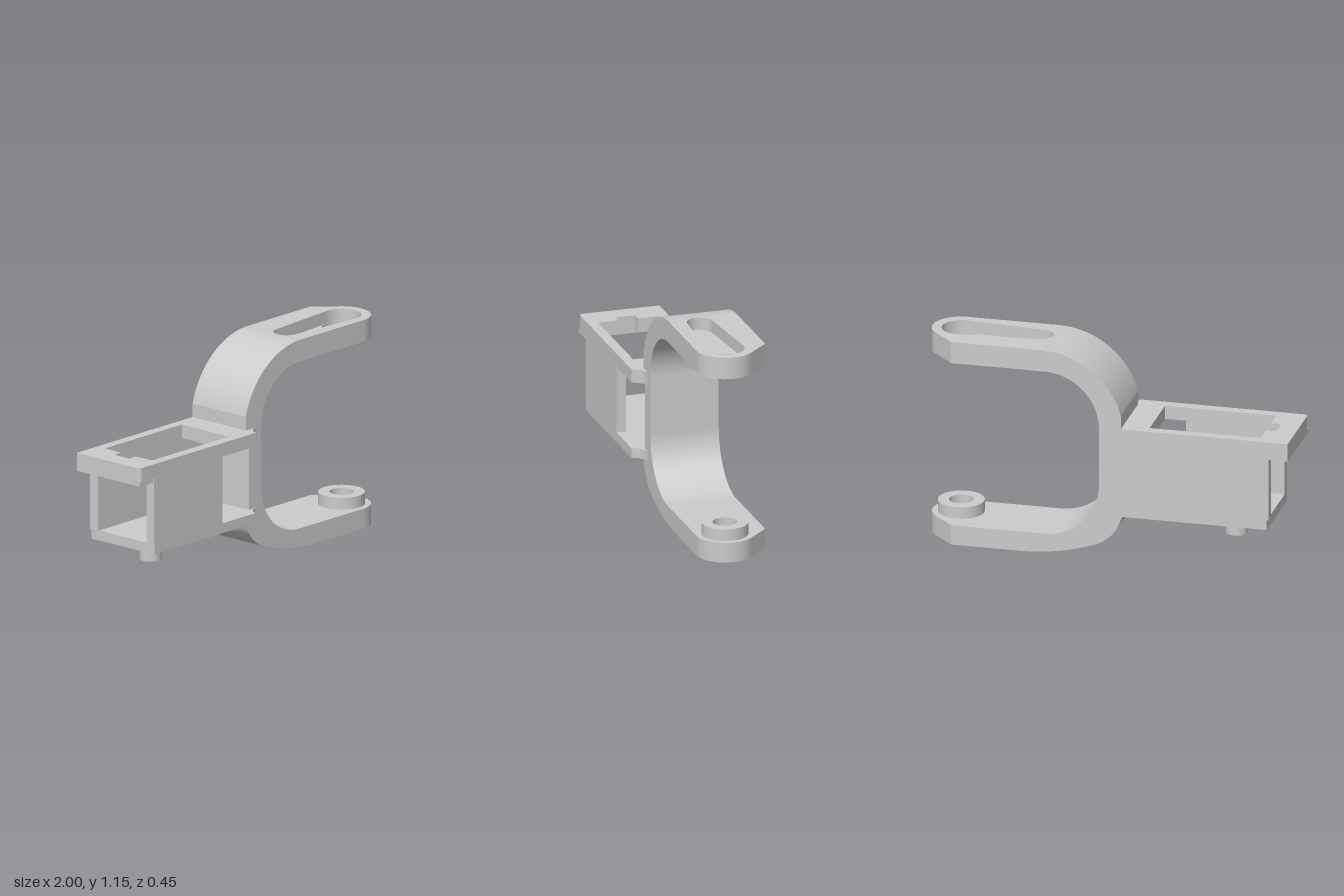
import * as THREE from 'three';

const BACK = -0.225, FRONT = 0.225, RIM = 0.157; // z limits: back face, housing front, bracket front
const PIVOT = 0.845;                             // x of the arm holes

const material = new THREE.MeshStandardMaterial({ color: 0xcccccc });

function add(group, name, geometry) {
  const mesh = new THREE.Mesh(geometry, material);
  mesh.name = name;
  group.add(mesh);
}

// Extrude an (x, y) outline from z0 to z1
function extrudeZ(shape, z0, z1) {
  return new THREE.ExtrudeGeometry(shape, { depth: z1 - z0, bevelEnabled: false, curveSegments: 16 })
    .translate(0, 0, z0);
}

// Extrude an (x, z) plan from y0 to y1
function extrudeY(shape, y0, y1) {
  return new THREE.ExtrudeGeometry(shape, { depth: y1 - y0, bevelEnabled: false, curveSegments: 20 })
    .rotateX(Math.PI / 2).translate(0, y1, 0);
}

function box(x0, x1, y0, y1, z0, z1) {
  return new THREE.BoxGeometry(x1 - x0, y1 - y0, z1 - z0)
    .translate((x0 + x1) / 2, (y0 + y1) / 2, (z0 + z1) / 2);
}

function polygon(points) {
  return new THREE.Shape(points.map(([x, y]) => new THREE.Vector2(x, y)));
}

function circle(radius, Type = THREE.Path) {
  return new Type().absarc(PIVOT, 0, radius, 0, Math.PI * 2, false);
}

// Arm plan: square root, chamfered back corner, rounded tip
function armPlan(x0, hole) {
  const s = new THREE.Shape();
  s.moveTo(x0, BACK);
  s.lineTo(PIVOT, BACK);
  s.absarc(PIVOT, 0, RIM, -Math.PI / 4, Math.PI / 2, false);
  s.lineTo(x0, RIM);
  s.closePath();
  s.holes.push(hole);
  return s;
}

// Tapered slot: two circles joined by their tangents
function taperedSlot() {
  const a = Math.acos(-0.035 / 0.435);
  const p = new THREE.Path();
  p.absarc(PIVOT, 0, 0.105, -a, a, false);
  p.absarc(0.41, 0, 0.07, a, Math.PI * 2 - a, false);
  p.closePath();
  return p;
}

// Housing plan with a concave fillet running into the bracket
function housingPlan(x0, corner) {
  const s = new THREE.Shape();
  s.moveTo(x0, BACK);
  s.lineTo(-0.04, BACK);
  s.lineTo(0, RIM - 0.01);
  s.lineTo(0, RIM);
  s.quadraticCurveTo(-0.065, 0.165, -0.08, FRONT);
  s.lineTo(x0 + corner, FRONT);
  s.quadraticCurveTo(x0, FRONT, x0, FRONT - corner);
  s.closePath();
  return s;
}

function createBracket() {
  const g = new THREE.Group();
  g.name = 'forkBracket';

  // Curved spine joining both arms
  const s = new THREE.Shape();
  s.moveTo(0.33, 1.155);
  s.absarc(0.35, 0.705, 0.45, Math.PI / 2 + 0.045, 2.883, false);
  s.lineTo(-0.085, 0.67);
  s.lineTo(-0.06, 0.67);
  s.lineTo(-0.06, 0.3);
  s.lineTo(-0.095, 0.3);
  s.lineTo(-0.095, 0.25);
  s.splineThru([[-0.06, 0.17], [0, 0.105], [0.08, 0.065], [0.25, 0.02], [0.42, 0]]
    .map(([x, y]) => new THREE.Vector2(x, y)));
  s.lineTo(0.42, 0.11);
  s.lineTo(0.335, 0.11);
  s.absarc(0.335, 0.41, 0.3, Math.PI * 1.5, Math.PI, true);
  s.absarc(0.335, 0.735, 0.3, Math.PI, Math.PI / 2 + 0.017, true);
  s.lineTo(0.33, 1.035);
  s.closePath();
  add(g, 'spine', extrudeZ(s, BACK, RIM));

  // Upper arm: round hole below, tapered pocket above
  add(g, 'upperArmBase', extrudeY(armPlan(0.33, circle(0.105)), 1.035, 1.085));
  add(g, 'upperArmPocket', extrudeY(armPlan(0.33, taperedSlot()), 1.085, 1.155));

  // Lower arm with a ring boss
  add(g, 'lowerArm', extrudeY(armPlan(0.42, circle(0.065)), 0, 0.11));
  const ring = circle(0.125, THREE.Shape);
  ring.holes.push(circle(0.065));
  add(g, 'pivotBoss', extrudeY(ring, 0.11, 0.175));
  return g;
}

function createHousing() {
  const g = new THREE.Group();
  g.name = 'housing';

  // Top plate with a notched opening
  const top = housingPlan(-1, 0.03);
  top.holes.push(polygon([
    [-0.84, -0.17], [-0.23, -0.17], [-0.23, 0.168], [-0.84, 0.168],
    [-0.84, 0.055], [-0.895, 0.055], [-0.895, -0.055], [-0.84, -0.055],
  ]));
  add(g, 'topPlate', extrudeY(top, 0.67, 0.745));
  add(g, 'endLip', box(-1, -0.895, 0.645, 0.67, BACK, FRONT));

  // Floor and walls; the outer end stays open
  add(g, 'floor', extrudeY(housingPlan(-0.885, 0.01), 0.245, 0.3));
  add(g, 'backWall', box(-0.895, -0.04, 0.3, 0.67, BACK, -0.17));
  add(g, 'frontWall', box(-0.885, -0.345, 0.3, 0.67, 0.17, FRONT));

  // Peg under the floor
  add(g, 'peg', new THREE.CylinderGeometry(0.06, 0.06, 0.125, 32).translate(-0.665, 0.1925, 0));
  return g;
}

export function createModel() {
  const model = new THREE.Group();
  model.name = 'forkMount';
  model.add(createBracket(), createHousing());
  return model;
}
